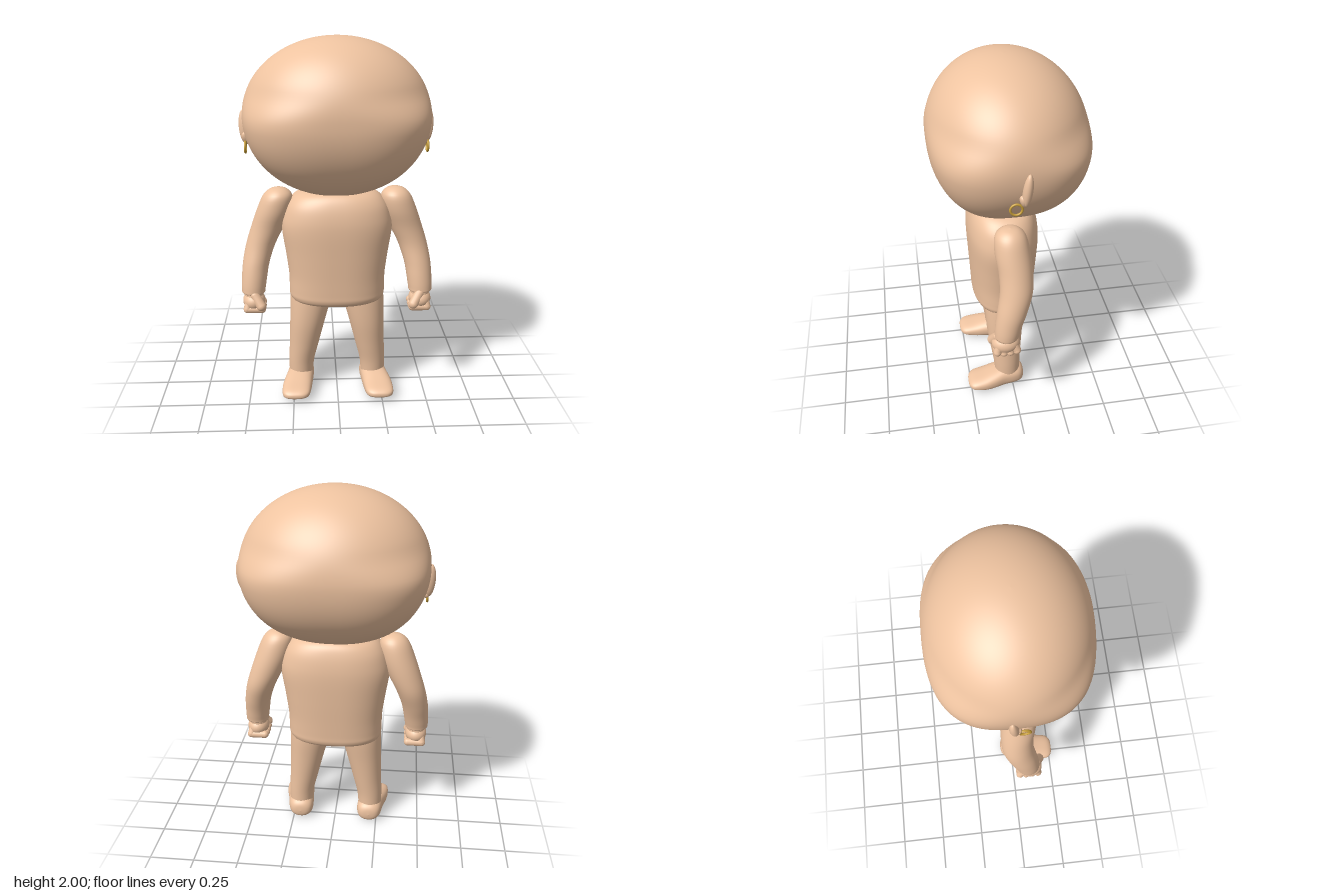
import * as THREE from 'three';

const skin = new THREE.MeshStandardMaterial({ color: 0xeec3a0 });
const gold = new THREE.MeshStandardMaterial({ color: 0xc9a03c });

// Smooth skin through superelliptic rings, top to bottom: [y, cx, cz, rx, rz, power]
function loft(keys, rows = 40, cols = 48) {
  const spline = (k, u) => {
    const f = u * (keys.length - 1), i = Math.min(Math.floor(f), keys.length - 2), t = f - i;
    const at = (j) => keys[Math.max(0, Math.min(keys.length - 1, j))][k];
    const a = at(i - 1), b = at(i), c = at(i + 1), d = at(i + 2);
    return b + 0.5 * t * (c - a + t * (2 * a - 5 * b + 4 * c - d + t * (3 * (b - c) + d - a)));
  };
  const pos = [], index = [];
  for (let r = 0; r <= rows; r++) {
    const [y, cx, cz, rx, rz, n] = [0, 1, 2, 3, 4, 5].map((k) => spline(k, r / rows));
    for (let c = 0; c < cols; c++) {
      const a = (c / cols) * Math.PI * 2, s = Math.sin(a), o = Math.cos(a);
      const px = Math.sign(s) * Math.abs(s) ** (2 / n), pz = Math.sign(o) * Math.abs(o) ** (2 / n);
      pos.push(cx + Math.max(rx, 0.0005) * px, y, cz + Math.max(rz, 0.0005) * pz);
      if (r < rows) {
        const p = r * cols + c, q = r * cols + ((c + 1) % cols);
        index.push(p, p + cols, q, q, p + cols, q + cols);
      }
    }
  }
  const g = new THREE.BufferGeometry();
  g.setAttribute('position', new THREE.Float32BufferAttribute(pos, 3));
  g.setIndex(index);
  g.computeVertexNormals();
  return g;
}

function add(parent, name, geometry, material = skin) {
  const m = new THREE.Mesh(geometry, material);
  m.name = name;
  parent.add(m);
  return m;
}

// Rounded finger between two points
function finger(parent, name, a, b, r) {
  const A = new THREE.Vector3(...a), B = new THREE.Vector3(...b), d = B.clone().sub(A);
  const m = add(parent, name, new THREE.CapsuleGeometry(r, d.length(), 8, 16));
  m.position.copy(A).add(B).multiplyScalar(0.5);
  m.quaternion.setFromUnitVectors(new THREE.Vector3(0, 1, 0), d.normalize());
}

function blob(parent, name, p, radii, tilt = [0, 0, 0]) {
  const m = add(parent, name, new THREE.SphereGeometry(1, 28, 20));
  m.position.set(...p);
  m.scale.set(...radii);
  m.rotation.set(...tilt);
}

// Big head: elliptical dome, squarer full cheeks below it, chin set slightly forward
function headGeometry() {
  const keys = [];
  for (let i = 0; i <= 36; i++) {
    const deg = i * 5, a = THREE.MathUtils.degToRad(deg), low = deg > 90;
    const square = THREE.MathUtils.smoothstep(deg, 70, 95) - 0.7 * THREE.MathUtils.smoothstep(deg, 125, 180);
    keys.push([
      1.6 + Math.cos(a) * (low ? 0.432 : 0.4), 0,
      low ? 0.03 * Math.cos(a) ** 4 : 0.015 * Math.cos(a),
      0.495 * Math.sin(a), 0.41 * Math.sin(a), 2 + 0.7 * square,
    ]);
  }
  return loft(keys, 72, 96);
}

function buildSide(s, side) {
  const g = new THREE.Group();
  g.name = side + 'Side';
  const mirror = (keys) => keys.map(([y, x, ...rest]) => [y, s * x, ...rest]);

  // Arm: round shoulder, bent elbow, rounded cuff
  add(g, side + 'Arm', loft(mirror([
    [1.207, 0.318, 0.03, 0, 0, 2], [1.197, 0.318, 0.03, 0.045, 0.045, 2], [1.16, 0.322, 0.03, 0.08, 0.08, 2],
    [1.08, 0.344, 0.023, 0.093, 0.092, 2], [0.98, 0.382, 0.012, 0.09, 0.089, 2],
    [0.88, 0.422, 0.014, 0.081, 0.086, 2], [0.78, 0.449, 0.037, 0.074, 0.08, 2],
    [0.7, 0.46, 0.057, 0.07, 0.073, 2], [0.635, 0.466, 0.069, 0.066, 0.067, 2],
    [0.612, 0.466, 0.071, 0.058, 0.059, 2], [0.602, 0.466, 0.072, 0, 0, 2],
  ])));

  // Fist: palm, four curled fingers, thumb across the front
  const hand = new THREE.Group();
  hand.name = side + 'Hand';
  g.add(hand);
  blob(hand, 'wrist', [s * 0.465, 0.605, 0.075], [0.052, 0.045, 0.06]);
  blob(hand, 'palm', [s * 0.465, 0.568, 0.078], [0.062, 0.056, 0.076]);
  for (let i = 0; i < 4; i++) {
    const z = 0.022 + i * 0.035, y = 0.531 - Math.sin((i / 3) * Math.PI) * 0.008;
    finger(hand, 'finger', [s * 0.42, y, z], [s * 0.5, y, z], 0.022);
    finger(hand, 'knuckle', [s * 0.499, y + 0.003, z], [s * 0.49, 0.575, 0.042 + i * 0.024], 0.022);
  }
  finger(hand, 'thumb', [s * 0.457, 0.61, 0.118], [s * 0.422, 0.555, 0.143], 0.027);

  // Leg
  add(g, side + 'Leg', loft(mirror([
    [0.64, 0.136, 0.03, 0.125, 0.112, 2.1], [0.55, 0.15, 0.033, 0.115, 0.113, 2.1],
    [0.42, 0.169, 0.037, 0.099, 0.104, 2.1], [0.28, 0.189, 0.034, 0.084, 0.089, 2],
    [0.17, 0.205, 0.03, 0.073, 0.077, 2], [0.08, 0.209, 0.027, 0.068, 0.072, 2],
  ])));

  // Foot, lofted toe to heel, then laid along z
  const foot = loft(mirror([
    [0.267, 0.238, -0.05, 0, 0, 2.6], [0.262, 0.238, -0.05, 0.045, 0.014, 2.6],
    [0.235, 0.237, -0.051, 0.074, 0.029, 2.6], [0.17, 0.233, -0.052, 0.082, 0.044, 2.6],
    [0.11, 0.225, -0.058, 0.081, 0.055, 2.5], [0.05, 0.214, -0.065, 0.076, 0.062, 2.5],
    [-0.01, 0.208, -0.066, 0.073, 0.061, 2.5], [-0.045, 0.206, -0.062, 0.062, 0.053, 2.4],
    [-0.064, 0.206, -0.058, 0.038, 0.034, 2.2], [-0.07, 0.206, -0.057, 0, 0, 2],
  ]));
  add(g, side + 'Foot', foot.rotateX(Math.PI / 2));

  // Ear with lobe and hoop
  blob(g, side + 'Ear', [s * 0.49, 1.53, -0.022], [0.03, 0.09, 0.024], [-0.1, 0, s * -0.05]);
  blob(g, side + 'EarLobe', [s * 0.479, 1.468, -0.006], [0.025, 0.038, 0.018], [0.35, 0, s * -0.3]);
  const hoop = add(g, side + 'Earring', new THREE.TorusGeometry(0.029, 0.006, 10, 32), gold);
  hoop.position.set(s * 0.484, 1.428, 0.03);
  hoop.rotation.y = Math.PI / 2;
  return g;
}

export function createModel() {
  const model = new THREE.Group();
  model.name = 'figure';

  add(model, 'head', headGeometry());

  // Torso with rounded shoulders and a soft hem
  add(model, 'torso', loft([
    [1.2, 0, 0.025, 0, 0, 2.2], [1.196, 0, 0.025, 0.12, 0.1, 2.2], [1.178, 0, 0.025, 0.21, 0.145, 2.3],
    [1.13, 0, 0.027, 0.264, 0.172, 2.4], [1.06, 0, 0.028, 0.293, 0.188, 2.4],
    [0.98, 0, 0.028, 0.302, 0.192, 2.4], [0.85, 0, 0.028, 0.284, 0.186, 2.4],
    [0.72, 0, 0.029, 0.268, 0.178, 2.4], [0.63, 0, 0.03, 0.266, 0.173, 2.4],
    [0.59, 0, 0.03, 0.263, 0.17, 2.4], [0.563, 0, 0.03, 0.238, 0.152, 2.4],
    [0.54, 0, 0.03, 0.15, 0.1, 2.2], [0.53, 0, 0.03, 0, 0, 2],
  ], 60, 64));

  model.add(buildSide(1, 'left'), buildSide(-1, 'right'));
  return model;
}
